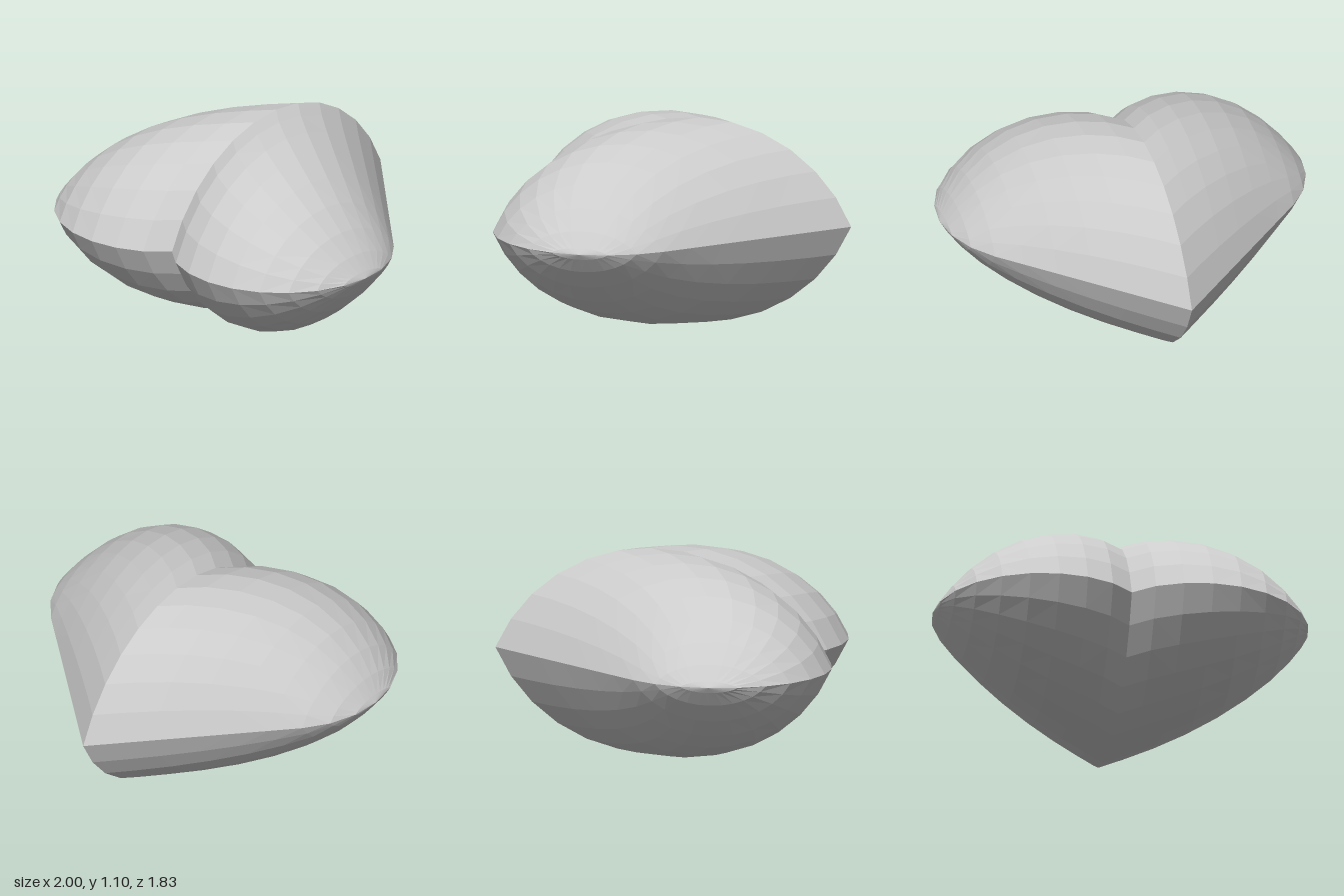
import * as THREE from 'three';

const MID = 0.552;      // height of the seam
const RISE = 0.55;      // dome height above the seam
const LOBE = { x: 0.41, z: 0.328, r: 0.59 };
const TIP_Z = -0.91, CLEFT_Z = 0.74;
const STEPS = 12;       // segments of the arc from back to front

// Height (0..1) of a circular arc with the given half chord and rise RISE
function arcHeight(t, halfChord) {
  const r = (halfChord ** 2 + RISE ** 2) / (2 * RISE);
  return (Math.sqrt(Math.max(0, r * r - (t * halfChord) ** 2)) - (r - RISE)) / RISE;
}

// Heart outline of one half as columns: x, back z and front z
function outlineColumns() {
  const columns = [{ x: 0, back: TIP_Z, front: CLEFT_Z }];
  const corner = { x: LOBE.x + LOBE.r * Math.SQRT1_2, z: LOBE.z - LOBE.r * Math.SQRT1_2 };
  for (let deg = 120; deg >= 0; deg -= 15) {
    const a = THREE.MathUtils.degToRad(deg);
    const x = LOBE.x + LOBE.r * Math.cos(a);
    const dz = LOBE.r * Math.sin(a);
    const back = deg > 45 ? THREE.MathUtils.lerp(TIP_Z, corner.z, x / corner.x) : LOBE.z - dz;
    columns.push({ x, back, front: LOBE.z + dz });
  }
  return columns;
}

// One quarter of the cushion, mirrored by the signs sx and sy
function quarterGeometry(sx, sy) {
  const columns = outlineColumns();
  const halfLength = (CLEFT_Z - TIP_Z) / 2;
  const halfAngle = 2 * Math.atan(RISE / halfLength);
  const positions = [], index = [];
  for (const { x, back, front } of columns) {
    const crown = RISE * arcHeight(x, 1);
    for (let j = 0; j <= STEPS; j++) {
      const s = Math.sin(halfAngle * (2 * j / STEPS - 1)) / Math.sin(halfAngle);
      const z = (back + front) / 2 + s * (front - back) / 2;
      positions.push(sx * x, MID + sy * crown * arcHeight(s, halfLength), z);
    }
  }
  const row = STEPS + 1;
  const face = (a, b, c) => (sx * sy > 0 ? index.push(a, b, c) : index.push(a, c, b));
  for (let i = 0; i < columns.length - 1; i++) {
    for (let j = 0; j < STEPS; j++) {
      const a = i * row + j, b = a + 1, c = a + row, d = c + 1;
      face(a, b, c);
      if (i < columns.length - 2) face(b, d, c); // last column meets in a point
    }
  }
  const geometry = new THREE.BufferGeometry();
  geometry.setAttribute('position', new THREE.Float32BufferAttribute(positions, 3));
  geometry.setIndex(index);
  const flat = geometry.toNonIndexed();
  flat.computeVertexNormals();
  return flat;
}

export function createModel() {
  const heart = new THREE.Group();
  heart.name = 'heart';
  const material = new THREE.MeshStandardMaterial({ color: 0xcccccc, flatShading: true });
  // Left and right lobes, upper and lower domes
  for (const sx of [1, -1]) {
    for (const sy of [1, -1]) {
      const dome = new THREE.Mesh(quarterGeometry(sx, sy), material);
      dome.name = (sx > 0 ? 'left' : 'right') + (sy > 0 ? 'UpperLobe' : 'LowerLobe');
      heart.add(dome);
    }
  }
  return heart;
}
